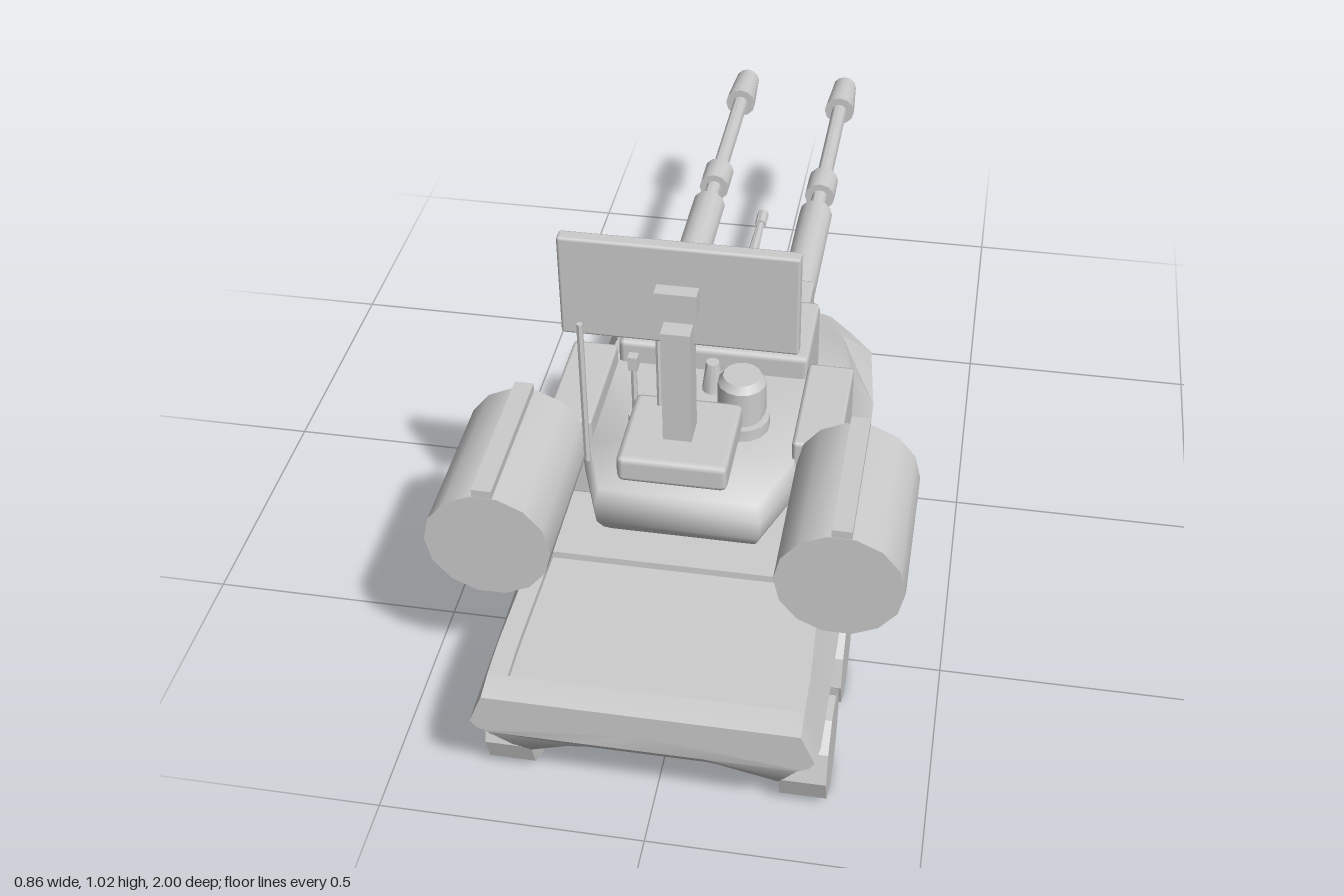
import * as THREE from 'three';
import { toCreasedNormals } from 'three/addons/utils/BufferGeometryUtils.js';
import { RoundedBoxGeometry } from 'three/addons/geometries/RoundedBoxGeometry.js';

const grey = new THREE.MeshStandardMaterial({ color: 0xcccccc });
grey.name = 'plainGrey';

// Skin over closed rings; each ring runs counter-clockwise seen from the first end.
function loft(rings, crease) {
  const n = rings[0].length, pos = [];
  const tri = (...p) => p.forEach(v => pos.push(...v));
  const mid = r => [0, 1, 2].map(k => r.reduce((s, p) => s + p[k], 0) / n);
  const first = rings[0], last = rings[rings.length - 1];
  for (let j = 0; j < n; j++) {
    const k = (j + 1) % n;
    tri(mid(first), first[j], first[k]);
    tri(mid(last), last[k], last[j]);
    for (let i = 0; i + 1 < rings.length; i++) {
      const a = rings[i][j], b = rings[i][k], c = rings[i + 1][k], d = rings[i + 1][j];
      tri(a, d, c);
      tri(a, c, b);
    }
  }
  const g = new THREE.BufferGeometry();
  g.setAttribute('position', new THREE.Float32BufferAttribute(pos, 3));
  return toCreasedNormals(g, crease);
}

// Hull cross-section at z; the defaults are the constant middle of the hull.
// t: top, b: belt, c: below belt, l: lower side, k: keel edge, i: inner belly; d: deck recess depth
function hullRing({ z, xt = .27, yt = .36, d = 0, xb = .31, yb = .255, xc = .28, yc = .21, xl = .24, yl = .155, yk = .07, yi = .11 }) {
  const half = [[.11, yi], [xl - .01, yk], [xl, yl], [xc, yc], [xb, yb], [xt, yt], [xt * .87, yt], [xt * .87, yt - d]];
  const mirrored = half.map(([x, y]) => [-x, y]).reverse();
  return [...half, ...mirrored].map(([x, y]) => [x, y, z]);
}

export function createModel() {
  const root = new THREE.Group();
  const add = (name, geo, x = 0, y = 0, z = 0) => {
    const m = new THREE.Mesh(geo, grey);
    m.name = name;
    m.position.set(x, y, z);
    root.add(m);
  };
  // Box from its limits, with a small bevel if b > 0
  const box = (name, x0, x1, y0, y1, z0, z1, b = 0) => {
    const s = [x1 - x0, y1 - y0, z1 - z0];
    const g = b ? new RoundedBoxGeometry(...s, 1, b) : new THREE.BoxGeometry(...s);
    add(name, g, (x0 + x1) / 2, (y0 + y1) / 2, (z0 + z1) / 2);
  };
  // Upright round part
  const post = (name, x, z, y0, y1, r0, r1 = r0, n = 12) =>
    add(name, toCreasedNormals(new THREE.CylinderGeometry(r1, r0, y1 - y0, n), 0.6), x, (y0 + y1) / 2, z);
  // Round part lying along z, from z0 back to z1
  const rod = (name, x, y, z0, z1, r0, r1 = r0, n = 12) => {
    const g = new THREE.CylinderGeometry(r1, r0, z0 - z1, n).rotateX(-Math.PI / 2);
    add(name, toCreasedNormals(g, 0.6), x, y, (z0 + z1) / 2);
  };

  // Hull: sloped end plate, recessed deck, bulge between the wheels, tapered nose
  const deck = { xt: .28, yt: .343, d: .014 };
  const lip = { xt: .28, yt: .341, xc: .285, xl: .255, yl: .185, yk: .16, yi: .18 };
  add('hull', loft([
    { z: 1, xt: .28, yt: .332, xb: .305, yb: .27, xc: .295, yc: .255, xl: .285, yl: .25, yk: .245, yi: .245 },
    { z: .951, ...lip },
    { z: .95, ...lip, d: .014 },
    { z: .9, ...deck, yk: .09, yi: .13 },
    { z: .87, ...deck },
    { z: .651, yt: .355, d: .014 },
    { z: .65, yt: .355 },
    { z: .46 },
    { z: .41, xc: .29, xl: .285, yl: .19 },
    { z: .24, xc: .29, xl: .285, yl: .19 },
    { z: .2 },
    { z: 0, xt: .25, xb: .305, yk: .09 },
    { z: -.14, xt: .22, yt: .322, xb: .285, yb: .285, xc: .265, yl: .15, yk: .12, yi: .125 },
    { z: -.2, xt: .19, yt: .305, xb: .235, yb: .285, xc: .22, xl: .2, yl: .16, yk: .13, yi: .13 },
    { z: -.255, xt: .165, yt: .29, xb: .182, yb: .285, xc: .18, yc: .275, xl: .178, yl: .27, yk: .265, yi: .265 },
  ].map(hullRing), 0.6));

  // Turret body with an undercut, rounded rear
  const plan = [[.2, .24], [.2, .5], [.15, .63]];
  const outline = [...plan.map(([x, z]) => [-x, z]), ...[...plan].reverse()];
  const levels = [[.5, .98], [.47, 1.02], [.43, 1.01], [.4, .96], [.375, .9], [.35, .8]];
  add('turretBody', loft(levels.map(([y, s]) => outline.map(([x, z]) => [x * s, y, .24 + (z - .24) * s])), 1.3));
  box('gunHousing', -.19, .19, .355, .55, .05, .245, .012);

  const wedge = new THREE.Shape([[-.25, .36], [-.11, .36], [-.21, .49], [-.25, .49]].map(p => new THREE.Vector2(...p)));
  for (const s of [-1, 1]) {
    const side = s < 0 ? 'right' : 'left';
    // Box spanning |x| from a to b on this side
    const sideBox = (name, a, b, ...rest) => box(side + name, ...(s < 0 ? [-b, -a] : [a, b]), ...rest);

    // Ten-sided wheels resting on a flat
    for (const z of [.8, .565, .1]) {
      const wheel = new THREE.CylinderGeometry(.1, .1, .087, 10).rotateZ(Math.PI / 2);
      add(side + 'Wheel', toCreasedNormals(wheel, 0.5), s * .274, .0951, z);
    }

    // Turret cheeks
    sideBox('CheekBox', .19, .28, .355, .54, .24, .485, .008);
    const wedgeGeo = new THREE.ExtrudeGeometry(wedge, { depth: .06, bevelEnabled: false }).rotateY(Math.PI / 2);
    // lean the outer face inwards towards the top
    const p = wedgeGeo.attributes.position;
    for (let i = 0; i < p.count; i++) {
      const width = p.getY(i) > .4 ? .04 : .075;
      p.setX(i, s > 0 ? .185 + p.getX(i) / .06 * width : -.185 - (1 - p.getX(i) / .06) * width);
    }
    wedgeGeo.computeVertexNormals();
    add(side + 'CheekWedge', wedgeGeo);

    // Launcher drum with its top rail
    const drum = new THREE.CylinderGeometry(.116, .116, .305, 14).rotateY(Math.PI / 2).rotateX(Math.PI / 2);
    add(side + 'Drum', toCreasedNormals(drum, 0.6), s * .315, .485, .633);
    sideBox('DrumRail', .298, .334, .59, .615, .48, .785);

    // Gun
    const x = s * .123, y = .447;
    sideBox('Mantlet', .083, .165, .378, .522, -.06, .06, .008);
    rod(side + 'GunSleeve', x, y, -.05, -.42, .037);
    rod(side + 'GunBarrel', x, y, -.41, -.9, .018);
    rod(side + 'GunCollar', x, y, -.49, -.565, .034);
    rod(side + 'GunMuzzle', x, y, -.88, -1, .036, .028);
  }

  // Slim central barrel
  rod('centreBarrel', 0, .42, .06, -.41, .022, .008, 8);
  rod('centreBarrelTip', 0, .42, -.395, -.44, .013, .013, 8);

  // Radar
  box('radarBase', -.1, .1, .575, .63, .49, .68, .012);
  box('radarMast', -.026, .026, .62, .866, .56, .615);
  box('radarPanel', -.21, .21, .82, 1.022, .553, .58, .006);
  box('radarReceiver', -.037, .037, .9, .945, .575, .607);

  // Roof fittings and antennas
  post('sightNeck', .085, .41, .495, .56, .04, .04, 14);
  post('sightRing', .085, .41, .51, .535, .053, .053, 14);
  post('sightBody', .085, .41, .548, .615, .046, .046, 14);
  post('sightCap', .085, .41, .615, .63, .046, .036, 14);
  post('sensorBase', -.11, .46, .495, .55, .014, .014, 8);
  post('sensorStem', -.11, .46, .55, .66, .006, .006, 6);
  box('sensorHead', -.119, -.101, .66, .69, .452, .47);
  post('roofCone', .01, .3, .495, .565, .022, .013);
  for (const x of [-.05, .05]) post('roofStud', x, .52, .495, .58, .011, .011, 8);
  post('antenna', -.05, .52, .54, .88, .005, .005, 6);
  post('rearAntenna', -.16, .64, .585, .89, .006, .006, 6);
  return root;
}
